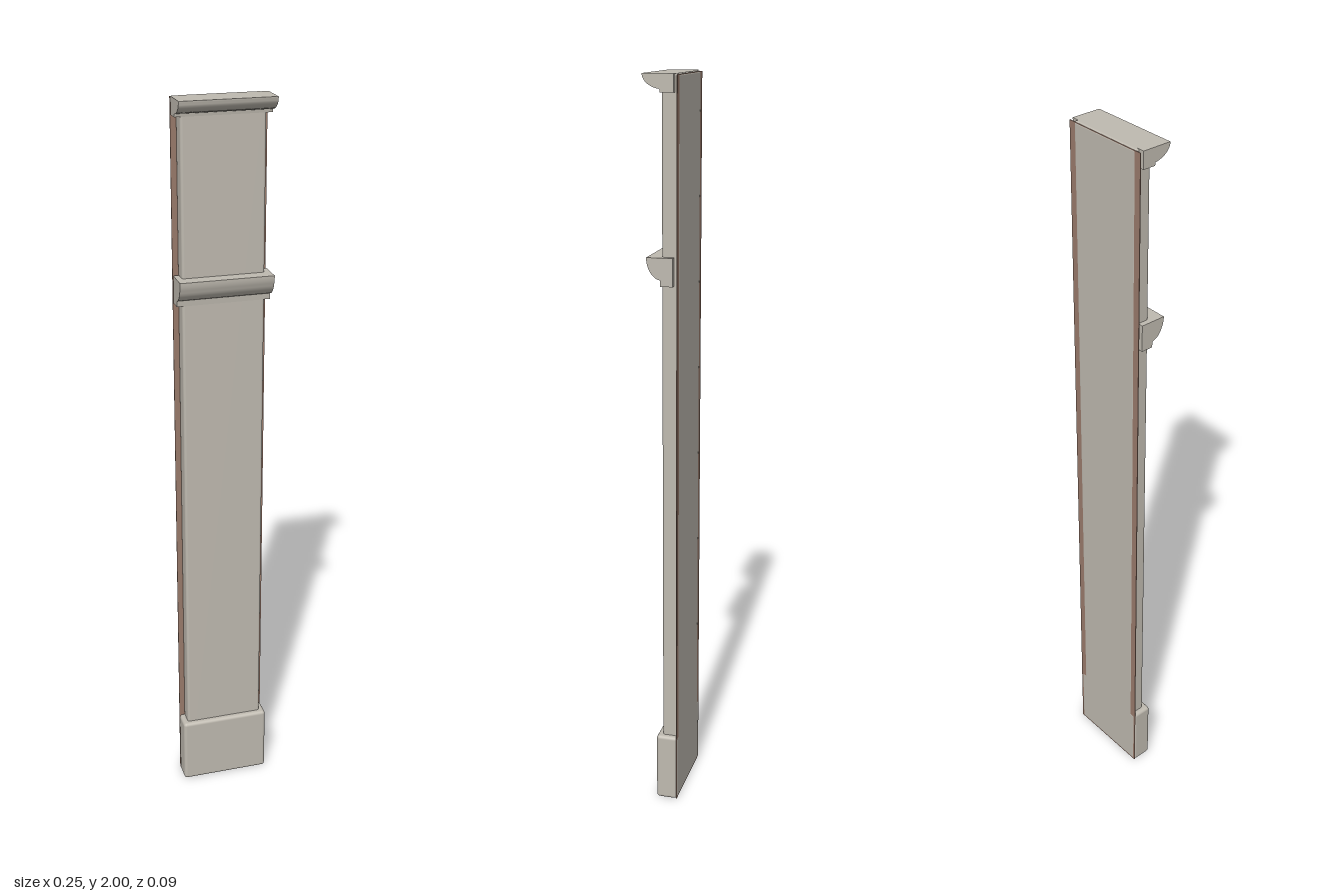
import * as THREE from 'three';
import { RoundedBoxGeometry } from 'three/addons/geometries/RoundedBoxGeometry.js';
import { toCreasedNormals } from 'three/addons/utils/BufferGeometryUtils.js';

const WIDTH = 0.25;
const BACK = -0.045;

export function createModel() {
  const stone = new THREE.MeshStandardMaterial({ color: 0xbfbab0 });
  stone.name = 'stone';
  const brown = new THREE.MeshStandardMaterial({ color: 0x9a7b6c });
  brown.name = 'brown';
  const group = new THREE.Group();
  group.name = 'pilaster';

  function add(name, geometry, material, x = 0, y = 0, z = 0) {
    const mesh = new THREE.Mesh(geometry, material);
    mesh.name = name;
    mesh.position.set(x, y, z);
    group.add(mesh);
  }

  // Slab with softened edges, from y0 to y1 and from the wall to the front
  function slab(name, width, y0, y1, front, radius) {
    const depth = front - BACK;
    add(name, new RoundedBoxGeometry(width, y1 - y0, depth, 3, radius), stone,
      0, (y0 + y1) / 2, (front + BACK) / 2);
  }

  // Moulding swept across the full width; start is the top front lip
  function moulding(name, lip, top, curve, bottom, back) {
    const shape = new THREE.Shape();
    shape.moveTo(-back, top);
    shape.lineTo(-back, bottom);
    shape.lineTo(0, bottom);
    shape.lineTo(-0.001, curve);
    shape.bezierCurveTo(-lip * 0.5, curve + 0.003, -lip * 0.93, curve + (top - curve) * 0.4, -lip, top - 0.004);
    shape.lineTo(-lip, top);
    shape.closePath();
    const geometry = new THREE.ExtrudeGeometry(shape, { depth: WIDTH, bevelEnabled: false, curveSegments: 10 });
    geometry.rotateY(Math.PI / 2);
    geometry.translate(-WIDTH / 2, 0, 0);
    add(name, toCreasedNormals(geometry, 0.6), stone);
  }

  // Thin backing showing as a strip on both sides of the shaft
  add('backing', new THREE.BoxGeometry(WIDTH, 1.995, 0.002), brown, 0, 1.0, BACK + 0.0015);

  slab('shaft', 0.22, 0.005, 2, 0, 0.007);
  slab('base', WIDTH, 0, 0.195, 0.015, 0.009);

  moulding('crown', 0.045, 2, 1.963, 1.955, -0.035);
  moulding('neckMoulding', 0.037, 1.55, 1.493, 1.477, -0.033);

  return group;
}
